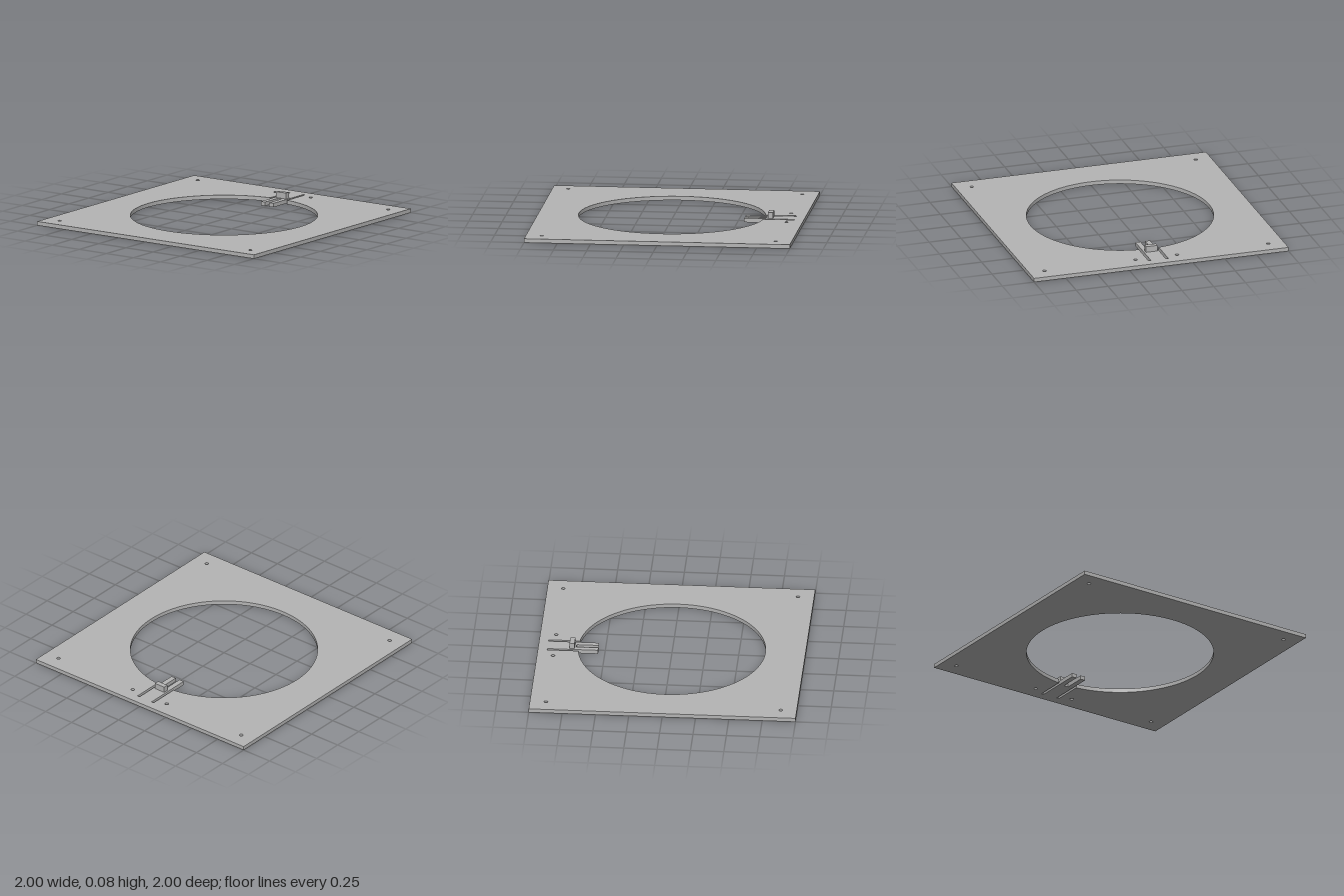
import * as THREE from 'three';

const THICK = 0.03;

export function createModel() {
  const group = new THREE.Group();
  const grey = new THREE.MeshStandardMaterial({ color: 0xb4b4b4 });
  grey.name = 'grey';

  // Square outline, drawn with y pointing to the back
  const plate = new THREE.Shape();
  plate.moveTo(-1, -1).lineTo(1, -1).lineTo(1, 1).lineTo(-1, 1).closePath();

  // Round opening that runs into two slots and around a forked spring tongue
  const radius = 0.7, slotX = 0.078, tongueX = 0.058, forkX = 0.018;
  const slotEnd = 0.93, tip = 0.55, forkEnd = 0.715;
  const start = Math.acos(slotX / radius);
  const opening = new THREE.Path();
  opening.absarc(0, 0, radius, start, Math.PI - start, true);
  const half = [[slotX, slotEnd], [tongueX, slotEnd], [tongueX, tip], [forkX, tip], [forkX, forkEnd]];
  half.forEach(([x, y]) => opening.lineTo(-x, y));
  [...half].reverse().forEach(([x, y]) => opening.lineTo(x, y));
  opening.closePath();
  plate.holes.push(opening);

  // Screw holes: four corners and a pair beside the tongue
  const screws = [[0.88, 0.88], [0.88, -0.88], [0.163, 0.88]];
  for (const [x, y] of screws) {
    for (const side of [-1, 1]) {
      const hole = new THREE.Path();
      hole.absarc(side * x, y, 0.014, 0, Math.PI * 2, true);
      plate.holes.push(hole);
    }
  }

  const plateGeometry = new THREE.ExtrudeGeometry(plate, {
    depth: THICK, bevelEnabled: false, curveSegments: 72,
  });
  plateGeometry.rotateX(-Math.PI / 2);
  const plateMesh = new THREE.Mesh(plateGeometry, grey);
  plateMesh.name = 'plateWithTongue';
  group.add(plateMesh);

  // Catch block on the tongue
  const block = new THREE.Mesh(new THREE.BoxGeometry(0.09, 0.045, 0.038), grey);
  block.position.set(0, THICK + 0.0225, -0.746);
  block.name = 'catchBlock';
  group.add(block);

  return group;
}
